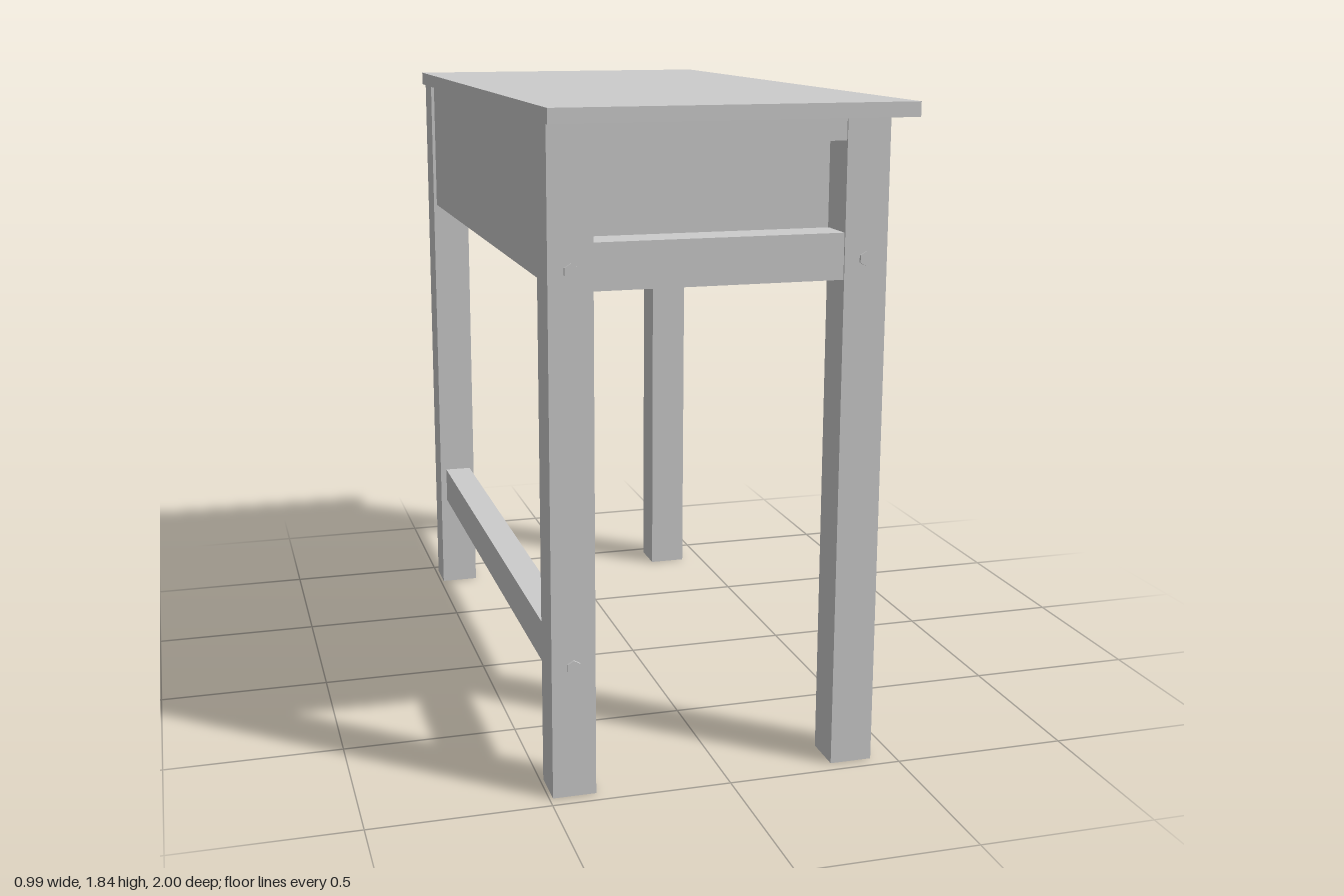
import * as THREE from 'three';

export function createModel() {
  const desk = new THREE.Group();
  desk.name = 'schoolDesk';
  const mat = new THREE.MeshStandardMaterial({ color: 0xcccccc, side: THREE.DoubleSide, flatShading: true });

  // box given by its extents along each axis
  function slab(name, x0, x1, y0, y1, z0, z1, parent = desk) {
    const mesh = new THREE.Mesh(new THREE.BoxGeometry(x1 - x0, y1 - y0, z1 - z0), mat);
    mesh.position.set((x0 + x1) / 2, (y0 + y1) / 2, (z0 + z1) / 2);
    mesh.name = name;
    parent.add(mesh);
    return mesh;
  }

  // table top
  slab('tableTop', -0.495, 0.495, 1.81, 1.85, -1, 1);

  // legs: hollow at the foot, so the bottom face is left out
  for (const s of [1, -1]) {
    for (const [x0, x1] of [[-0.49, -0.37], [0.31, 0.43]]) {
      const leg = slab('leg', x0, x1, 0.01, 1.81, s > 0 ? 0.84 : -0.96, s > 0 ? 0.96 : -0.84);
      const idx = Array.from(leg.geometry.index.array);
      idx.splice(18, 6);
      leg.geometry.setIndex(idx);
      leg.geometry.clearGroups();
    }

    // end frame rails between the legs
    const z0 = s > 0 ? 0.845 : -0.955, z1 = s > 0 ? 0.955 : -0.845;
    slab('endTopRail', -0.37, 0.31, 1.75, 1.81, z0, z1);
    slab('endLowerRail', -0.37, 0.31, 1.385, 1.51, z0, z1);

    // bolt heads
    for (const [x, y] of [[-0.43, 1.44], [0.37, 1.44], [-0.43, 0.38]]) {
      const bolt = new THREE.Mesh(new THREE.CylinderGeometry(0.02, 0.02, 0.012, 6), mat);
      bolt.rotation.x = Math.PI / 2;
      bolt.position.set(x, y, s * 0.961);
      bolt.name = 'bolt';
      desk.add(bolt);
    }
  }

  // open book tray, facing +x
  const tray = new THREE.Group();
  tray.name = 'bookTray';
  desk.add(tray);
  slab('trayFloor', -0.45, 0.46, 1.47, 1.51, -0.84, 0.84, tray);
  slab('trayEnd', -0.45, 0.46, 1.51, 1.805, 0.803, 0.84, tray);
  slab('trayEnd', -0.45, 0.46, 1.51, 1.805, -0.84, -0.803, tray);

  // closed long side panel
  slab('sidePanel', -0.48, -0.44, 1.40, 1.81, -0.84, 0.84);

  // rails carrying the tray
  slab('trayRail', 0.35, 0.425, 1.40, 1.47, -0.84, 0.84);
  slab('trayRail', -0.44, -0.39, 1.40, 1.47, -0.84, 0.84);

  // low stretcher
  slab('stretcher', -0.47, -0.385, 0.32, 0.435, -0.84, 0.84);

  return desk;
}
